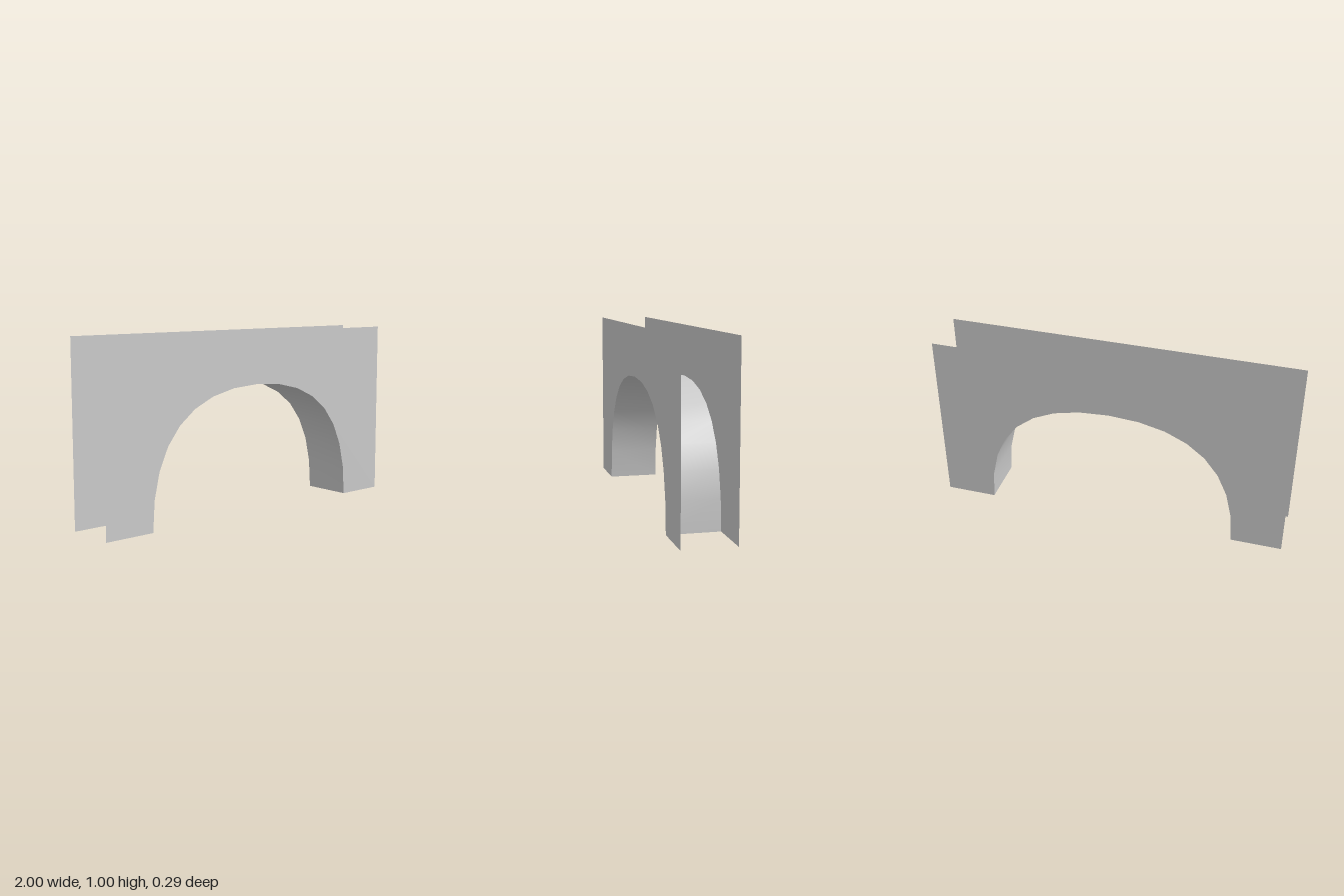
import * as THREE from 'three';

const HALF_WIDTH = 1, HEIGHT = 1, RADIUS = 0.7143, HALF_DEPTH = 0.1429, SEGMENTS = 8;

// One quarter of the arch: a quadratic curve from the foot to the crown
function archCurve(side) {
  return new THREE.QuadraticBezierCurve(
    new THREE.Vector2(side * RADIUS, 0),
    new THREE.Vector2(side * RADIUS, RADIUS),
    new THREE.Vector2(0, RADIUS));
}

// Arch outline from the right foot over the crown to the left foot
function archPoints() {
  const rise = archCurve(1).getPoints(SEGMENTS);
  const fall = archCurve(-1).getPoints(SEGMENTS).reverse().slice(1);
  return [...rise, ...fall];
}

// Flat wall with the arch cut out of its lower edge
function wallGeometry(points) {
  const shape = new THREE.Shape([
    new THREE.Vector2(-HALF_WIDTH, 0),
    new THREE.Vector2(-HALF_WIDTH, HEIGHT),
    new THREE.Vector2(HALF_WIDTH, HEIGHT),
    new THREE.Vector2(HALF_WIDTH, 0),
    ...points,
  ]);
  return new THREE.ShapeGeometry(shape);
}

// Curved underside joining the two walls, smooth along the arch
function vaultGeometry(points) {
  const geometry = new THREE.PlaneGeometry(1, 1, points.length - 1, 1);
  const position = geometry.attributes.position;
  for (let row = 0; row < 2; row++) {
    points.forEach((p, i) => {
      position.setXYZ(row * points.length + i, p.x, p.y, row ? HALF_DEPTH : -HALF_DEPTH);
    });
  }
  geometry.computeVertexNormals();
  return geometry;
}

export function createModel() {
  const model = new THREE.Group();
  model.name = 'archway';
  const stone = new THREE.MeshStandardMaterial({ color: 0xcccccc, side: THREE.DoubleSide });
  stone.name = 'light grey';
  const points = archPoints();

  // Front and back walls
  const wall = wallGeometry(points);
  const front = new THREE.Mesh(wall, stone);
  front.name = 'frontWall';
  front.position.z = HALF_DEPTH;
  const back = new THREE.Mesh(wall, stone);
  back.name = 'backWall';
  back.position.z = -HALF_DEPTH;
  back.rotation.y = Math.PI;

  // Arch underside
  const vault = new THREE.Mesh(vaultGeometry(points), stone);
  vault.name = 'archUnderside';

  model.add(front, back, vault);
  return model;
}
